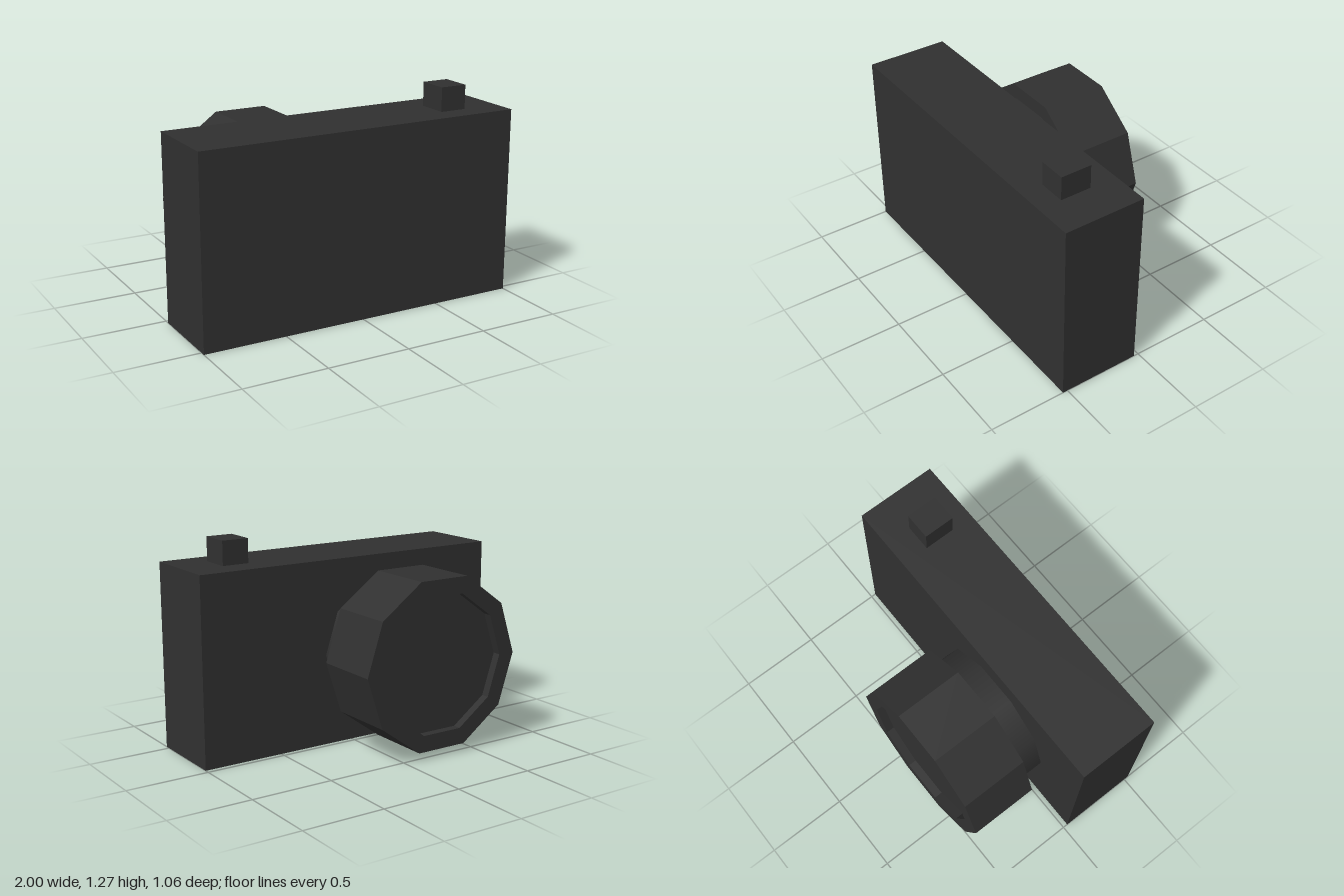
import * as THREE from 'three';

export function createModel() {
  const model = new THREE.Group();
  const darkGrey = new THREE.MeshStandardMaterial({ color: 0x303030 });

  function add(name, geometry, x, y, z) {
    const mesh = new THREE.Mesh(geometry, darkGrey);
    mesh.name = name;
    mesh.position.set(x, y, z);
    model.add(mesh);
  }

  // Main box and shutter button
  add('body', new THREE.BoxGeometry(2, 1.125, 0.5), 0, 0.5625, 0.28);
  add('shutterButton', new THREE.BoxGeometry(0.165, 0.145, 0.19), 0.683, 1.1975, 0.294);

  // Smooth ten-sided collar between body and lens
  const lensX = -0.253, lensY = 0.553;
  const collar = new THREE.CylinderGeometry(0.436, 0.436, 0.145, 10, 1, true, Math.PI / 2);
  collar.rotateX(-Math.PI / 2);
  add('lensCollar', collar, lensX, lensY, -0.0425);

  // Faceted ten-sided lens barrel with a shallow recess in its end
  const profile = [
    [0, 0.115], [0.53, 0.115], [0.53, 0.532], [0.425, 0.532], [0.425, 0.482], [0, 0.482],
  ].map(([r, h]) => new THREE.Vector2(r, h));
  const barrel = new THREE.LatheGeometry(profile, 10, Math.PI / 2).toNonIndexed();
  barrel.computeVertexNormals();
  barrel.rotateX(-Math.PI / 2);
  add('lensBarrel', barrel, lensX, lensY, 0);

  return model;
}
